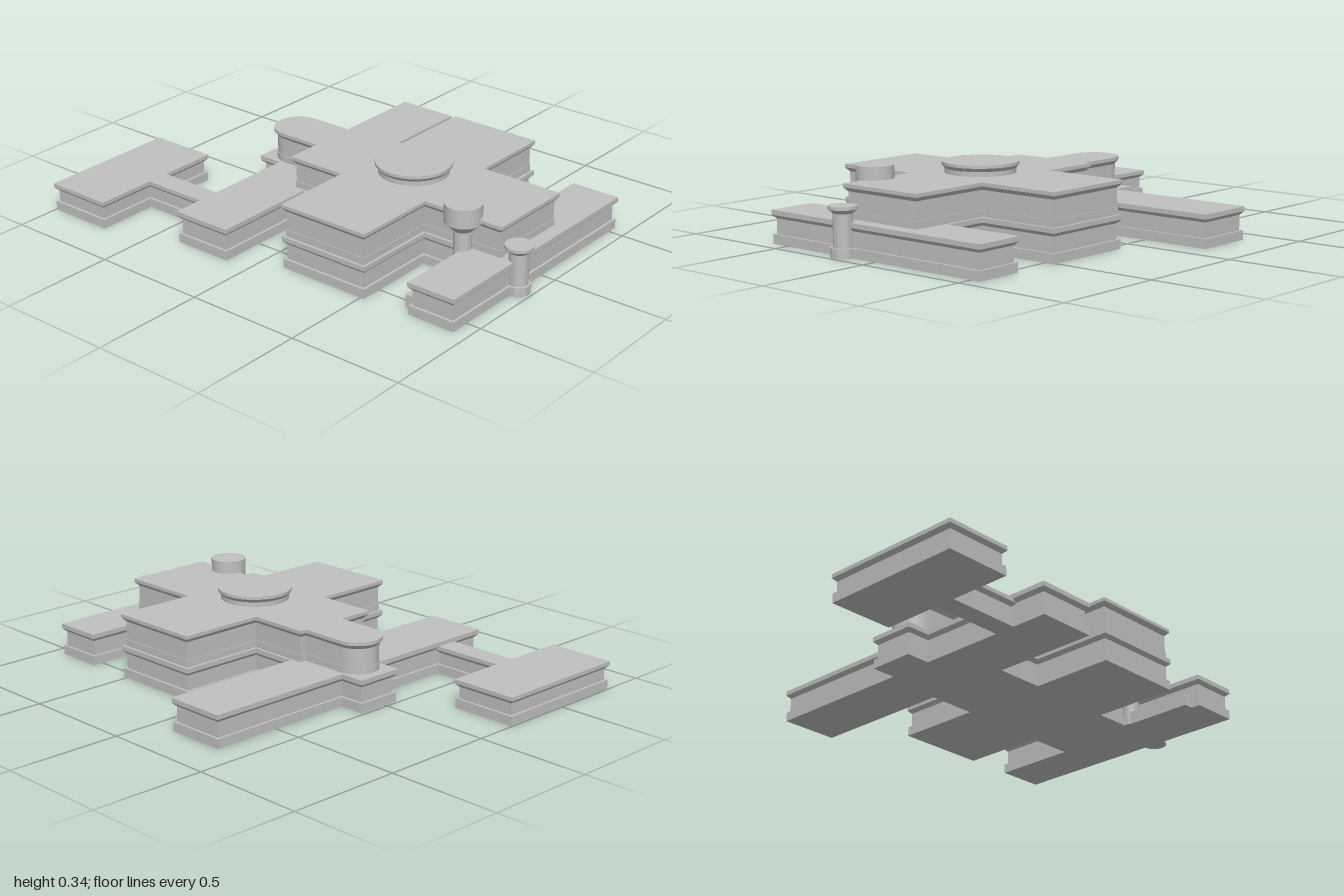
import * as THREE from 'three';
import { toCreasedNormals } from 'three/addons/utils/BufferGeometryUtils.js';

// Shrinks an outline of [x, z] points inwards with mitred corners.
function insetOutline(outline, inset) {
  const n = outline.length;
  const normal = (a, b) => {
    const dx = b[0] - a[0], dz = b[1] - a[1], l = Math.hypot(dx, dz);
    return [dz / l, -dx / l];
  };
  return outline.map((p, i) => {
    const a = normal(outline[(i + n - 1) % n], p);
    const b = normal(p, outline[(i + 1) % n]);
    const k = inset / (1 + a[0] * b[0] + a[1] * b[1]);
    return [p[0] - (a[0] + b[0]) * k, p[1] - (a[1] + b[1]) * k];
  });
}

// Sweeps a wall profile of [inset, y] steps round an outline and caps both ends.
function tierGeometry(outline, profile) {
  const rings = profile.map(([inset, y]) =>
    insetOutline(outline, inset).map(([x, z]) => [x, y, z]));
  const pos = [];
  const tri = (a, b, c) => pos.push(...a, ...b, ...c);
  const n = outline.length;
  for (let k = 0; k < rings.length - 1; k++) {
    for (let i = 0; i < n; i++) {
      const j = (i + 1) % n;
      const a = rings[k][i], b = rings[k][j], c = rings[k + 1][j], d = rings[k + 1][i];
      tri(a, d, c);
      tri(a, c, b);
    }
  }
  const low = rings[0], top = rings[rings.length - 1];
  const faces = THREE.ShapeUtils.triangulateShape(
    outline.map(([x, z]) => new THREE.Vector2(x, z)), []);
  for (const [a, b, c] of faces) {
    tri(low[a], low[b], low[c]);
    tri(top[a], top[c], top[b]);
  }
  const g = new THREE.BufferGeometry();
  g.setAttribute('position', new THREE.Float32BufferAttribute(pos, 3));
  return toCreasedNormals(g, 0.5);
}

// Turned part from [radius, y] points, closed at both ends.
function turnedGeometry(points) {
  const pts = [[0, points[0][1]], ...points, [0, points[points.length - 1][1]]];
  return toCreasedNormals(
    new THREE.LatheGeometry(pts.map(([r, y]) => new THREE.Vector2(r, y)), 40), 0.5);
}

export function createModel() {
  const model = new THREE.Group();
  const stone = new THREE.MeshStandardMaterial({ color: 0xc0c0c0 });
  stone.name = 'pale grey stone';

  const add = (name, geometry, x = 0, y = 0, z = 0) => {
    const mesh = new THREE.Mesh(geometry, stone);
    mesh.name = name;
    mesh.position.set(x, y, z);
    model.add(mesh);
  };

  // Plinth, wall, flared cornice and flat roof edge
  const tierProfile = (y0, plinth, wall, flare, roof, plinthInset) => [
    [plinthInset, y0], [plinthInset, plinth], [0.015, plinth],
    [0.015, wall], [0, flare], [0, roof],
  ];

  // Ground storey: front wing, crossing, rear bar and rear bay
  add('groundStorey', tierGeometry([
    [-0.70, -0.38], [-0.07, -0.38], [-0.07, -0.49], [0.14, -0.49], [0.14, -0.38],
    [0.81, -0.38], [0.81, -0.11], [0.17, -0.11], [0.17, 0.10], [0.55, 0.10],
    [0.55, 0.52], [0.18, 0.52], [0.18, 0.72], [0.55, 0.72], [0.55, 0.94],
    [-0.59, 0.94], [-0.59, 0.72], [-0.22, 0.72], [-0.22, 0.52], [-0.60, 0.52],
    [-0.60, 0.10], [-0.23, 0.10], [-0.23, -0.11], [-0.70, -0.11],
  ], tierProfile(0, 0.04, 0.105, 0.12, 0.14, 0.004)));

  // Detached rear wing with its connecting passage
  add('rearWing', tierGeometry([
    [-0.81, -1], [-0.18, -1], [-0.18, -0.70], [-0.44, -0.70],
    [-0.44, -0.36], [-0.54, -0.36], [-0.54, -0.70], [-0.81, -0.70],
  ], tierProfile(0, 0.04, 0.09, 0.105, 0.122, 0.004)));

  // Upper storey: cross plan with a round rear end
  const apse = [];
  for (let i = 0; i <= 20; i++) {
    const a = Math.PI * (1 + i / 20);
    apse.push([0.035 + 0.105 * Math.cos(a), -0.36 + 0.105 * Math.sin(a)]);
  }
  add('upperStorey', tierGeometry([
    ...apse, [0.14, -0.17], [0.17, -0.17], [0.17, 0.10], [0.55, 0.10],
    [0.55, 0.52], [0.18, 0.52], [0.18, 0.89], [-0.22, 0.89], [-0.22, 0.52],
    [-0.60, 0.52], [-0.60, 0.10], [-0.23, 0.10], [-0.23, -0.17], [-0.07, -0.17],
  ], tierProfile(0.135, 0.17, 0.248, 0.265, 0.28, 0.012)));

  // Round lantern on the roof
  add('roofLantern', turnedGeometry([
    [0.147, 0.275], [0.147, 0.30], [0.16, 0.315], [0.16, 0.328],
  ]), -0.02, 0, 0.31);

  // Tower with a drum head, beside the front arm
  add('drumTower', turnedGeometry([
    [0.037, 0], [0.037, 0.218], [0.077, 0.255], [0.077, 0.335],
  ]), -0.225, 0, 0.71);

  // Column at the front with a flared cap
  add('frontColumn', turnedGeometry([
    [0.05, 0], [0.05, 0.04], [0.04, 0.04], [0.04, 0.175],
    [0.058, 0.192], [0.058, 0.205],
  ]), -0.17, 0, 0.94);

  // Low ledge behind the front wing
  add('lowLedge', new THREE.BoxGeometry(0.33, 0.055, 0.07), -0.38, 0.0275, 0.715);

  return model;
}
